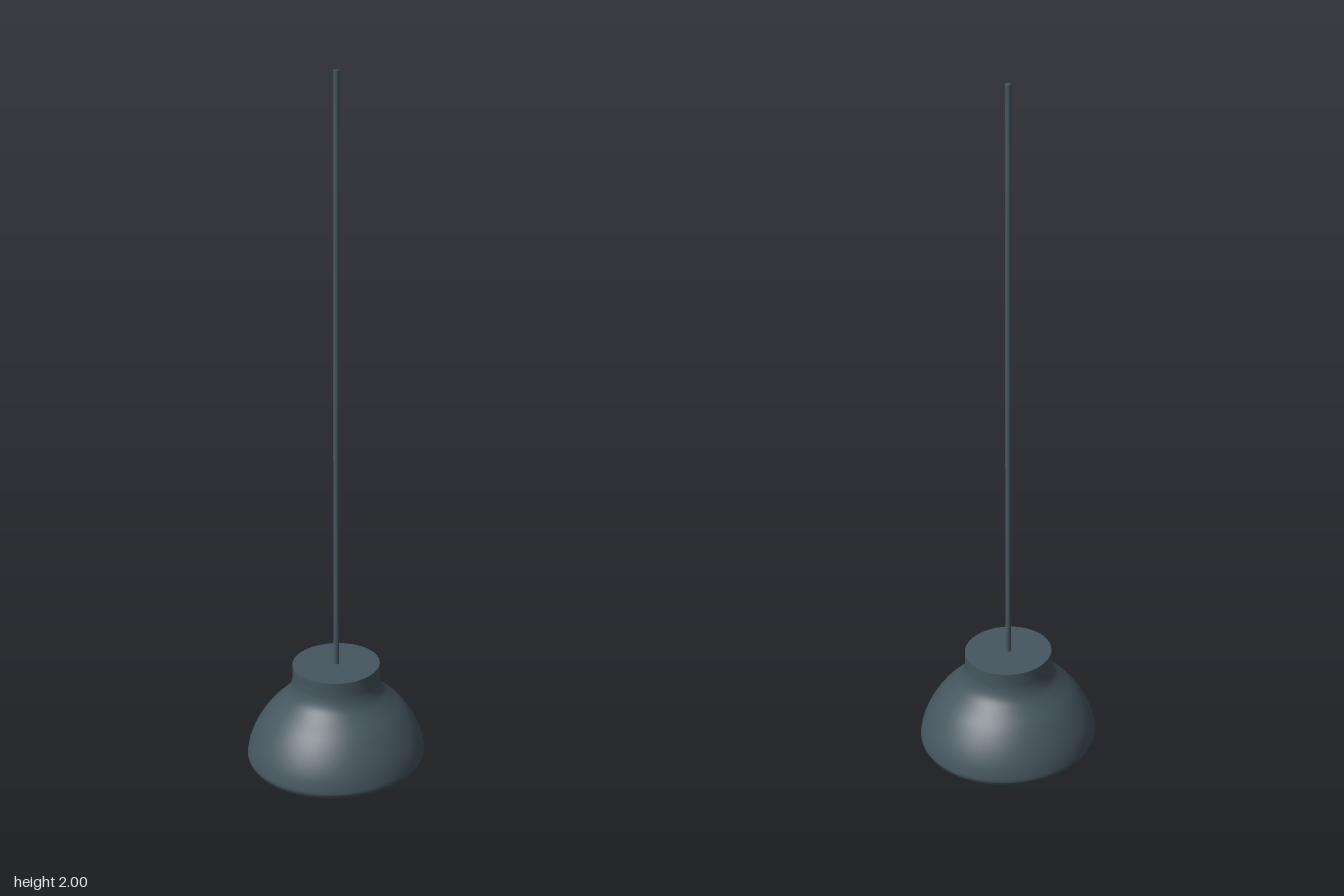
import * as THREE from 'three';

export function createModel() {
  const slate = new THREE.MeshStandardMaterial({ color: 0x46565f });
  slate.name = 'slate';
  const white = new THREE.MeshStandardMaterial({ color: 0xe2e2e2 });
  white.name = 'white';

  const model = new THREE.Group();
  model.name = 'pendantLamp';
  const add = (parent, name, geometry, material, y = 0) => {
    const mesh = new THREE.Mesh(geometry, material);
    mesh.name = name;
    mesh.position.y = y;
    parent.add(mesh);
    return mesh;
  };

  // Slightly oval lamp head
  const head = new THREE.Group();
  head.name = 'lampHead';
  head.scale.z = 1.05;
  model.add(head);

  // Bell-shaped shade, from the lower edge up to the neck
  const profile = new THREE.SplineCurve([
    [0.246, 0.006], [0.25, 0.02], [0.242, 0.06], [0.222, 0.105], [0.192, 0.15],
    [0.155, 0.188], [0.134, 0.213], [0.124, 0.24], [0.122, 0.265], [0.122, 0.295],
  ].map(([r, y]) => new THREE.Vector2(r, y)));
  add(head, 'shade', new THREE.LatheGeometry(profile.getPoints(48), 72), slate);

  // Flat cap on the neck
  add(head, 'neckCap', new THREE.CircleGeometry(0.122, 72).rotateX(-Math.PI / 2), slate, 0.295);

  // Dark lip around the opening
  const lip = [[0.232, 0.008], [0.234, 0], [0.243, 0], [0.246, 0.006]];
  add(head, 'lip', new THREE.LatheGeometry(lip.map(([r, y]) => new THREE.Vector2(r, y)), 72), slate);

  // Pale diffuser closing the underside
  add(head, 'diffuser', new THREE.CircleGeometry(0.233, 72).rotateX(Math.PI / 2), white, 0.007);

  // Long hanging cord
  const cordLength = 2 - 0.29;
  add(model, 'cord', new THREE.CylinderGeometry(0.008, 0.008, cordLength, 16), slate, 0.29 + cordLength / 2);

  return model;
}
